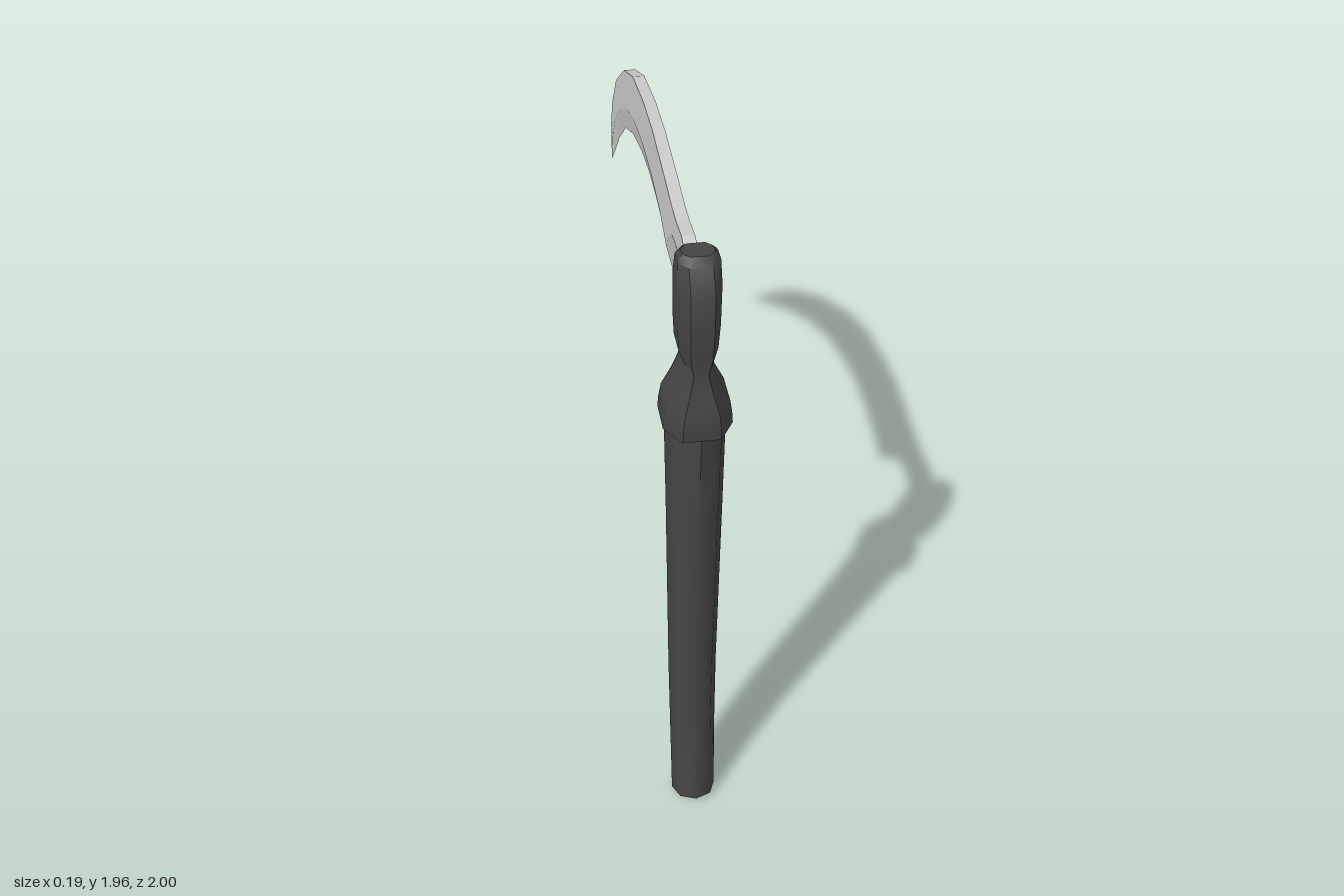
import * as THREE from 'three';
import { toCreasedNormals } from 'three/addons/utils/BufferGeometryUtils.js';

// Skin a list of closed rings (counter-clockwise about the path) and cap both ends
function loft(rings, crease) {
  const n = rings[0].length, pos = [], index = [];
  rings.forEach(r => r.forEach(p => pos.push(...p)));
  for (let k = 0; k < rings.length - 1; k++) {
    for (let i = 0; i < n; i++) {
      const j = (i + 1) % n, a = k * n + i, b = k * n + j;
      index.push(a, b, b + n, a, b + n, a + n);
    }
  }
  [0, rings.length - 1].forEach((k, end) => {
    const c = pos.length / 3;
    pos.push(...[0, 1, 2].map(d => rings[k].reduce((s, p) => s + p[d], 0) / n));
    for (let i = 0; i < n; i++) {
      const a = k * n + i, b = k * n + (i + 1) % n;
      index.push(c, ...(end ? [a, b] : [b, a]));
    }
  });
  const g = new THREE.BufferGeometry();
  g.setAttribute('position', new THREE.Float32BufferAttribute(pos, 3));
  g.setIndex(index);
  return toCreasedNormals(g, crease);
}

// Ring from a unit outline [x, z], set between a front and a back point
function ring(outline, [yF, zF, yB, zB, hx]) {
  return outline.map(([x, z]) => {
    const t = (1 - z) / 2;
    return [x * hx, yF + (yB - yF) * t, zF + (zB - zF) * t];
  });
}

export function createModel() {
  const group = new THREE.Group();
  const dark = new THREE.MeshStandardMaterial({ color: 0x444444 });
  const steel = new THREE.MeshStandardMaterial({ color: 0xcccccc });
  const add = (name, geometry, material) => {
    const mesh = new THREE.Mesh(geometry, material);
    mesh.name = name;
    group.add(mesh);
  };

  // Curved, tapering handle: front y, front z, back y, back z, half width
  const round = Array.from({ length: 8 }, (_, i) => {
    const a = i * Math.PI / 4;
    return [Math.cos(a), -Math.sin(a)];
  });
  const handle = [
    [0.02, 1.0, 0, 0.87, 0.067], [0.28, 0.96, 0.26, 0.835, 0.069],
    [0.53, 0.94, 0.52, 0.8, 0.072], [1.15, 0.93, 1.15, 0.755, 0.08],
    [1.48, 0.93, 1.48, 0.715, 0.085],
  ];
  add('handle', loft(handle.map(r => ring(round, r)), 0.9), dark);

  // Head with a flared collar and a narrow waist: y, front z, back z, half width
  const facets = [[1, 0.42], [1, -0.42], [0.55, -1], [-0.55, -1],
    [-1, -0.42], [-1, 0.42], [-0.55, 1], [0.55, 1]];
  const head = [
    [1.445, 0.938, 0.708, 0.094], [1.475, 0.94, 0.704, 0.092],
    [1.52, 0.937, 0.706, 0.085], [1.575, 0.918, 0.72, 0.058],
    [1.635, 0.904, 0.728, 0.035], [1.685, 0.908, 0.722, 0.052],
    [1.76, 0.912, 0.717, 0.056], [1.88, 0.908, 0.722, 0.057],
    [1.945, 0.868, 0.76, 0.055], [1.963, 0.845, 0.782, 0.042],
  ];
  add('head', loft(head.map(([y, f, b, w]) => ring(facets, [y, f, y, b, w])), 0.6), dark);

  // Blade stations: z, y of the spine, of the bevel line and of the cutting edge
  const blade = [
    [0.78, 1.89, 0.78, 1.74, 0.78, 1.70],
    [0.73, 1.90, 0.725, 1.755, 0.725, 1.71],
    [0.67, 1.914, 0.67, 1.813, 0.67, 1.76],
    [0.59, 1.904, 0.59, 1.83, 0.59, 1.775],
    [0.515, 1.904, 0.515, 1.818, 0.515, 1.76],
    [0.46, 1.91, 0.458, 1.77, 0.468, 1.706],
    [0.425, 1.914, 0.425, 1.722, 0.425, 1.647],
    [0.30, 1.925, 0.30, 1.76, 0.27, 1.674],
    [0.16, 1.936, 0.14, 1.78, 0.10, 1.69],
    [-0.02, 1.93, -0.045, 1.78, -0.045, 1.69],
    [-0.26, 1.893, -0.23, 1.754, -0.205, 1.668],
    [-0.473, 1.807, -0.42, 1.70, -0.393, 1.62],
    [-0.687, 1.663, -0.60, 1.60, -0.58, 1.54],
    [-0.848, 1.497, -0.78, 1.462, -0.767, 1.396],
    [-0.928, 1.37, -0.89, 1.335, -0.885, 1.283],
    [-1, 1.183, -1, 1.182, -1, 1.181],
  ];
  const bladeRings = blade.map(([zs, ys, zm, ym, ze, ye]) => {
    const w = 0.018 * Math.min(1, Math.sqrt((1 + zs) / 0.3));
    return [[w, ys, zs], [w, ym, zm], [0, ye, ze], [-w, ym, zm], [-w, ys, zs]];
  });
  add('blade', loft(bladeRings, 0.12), steel);

  return group;
}
